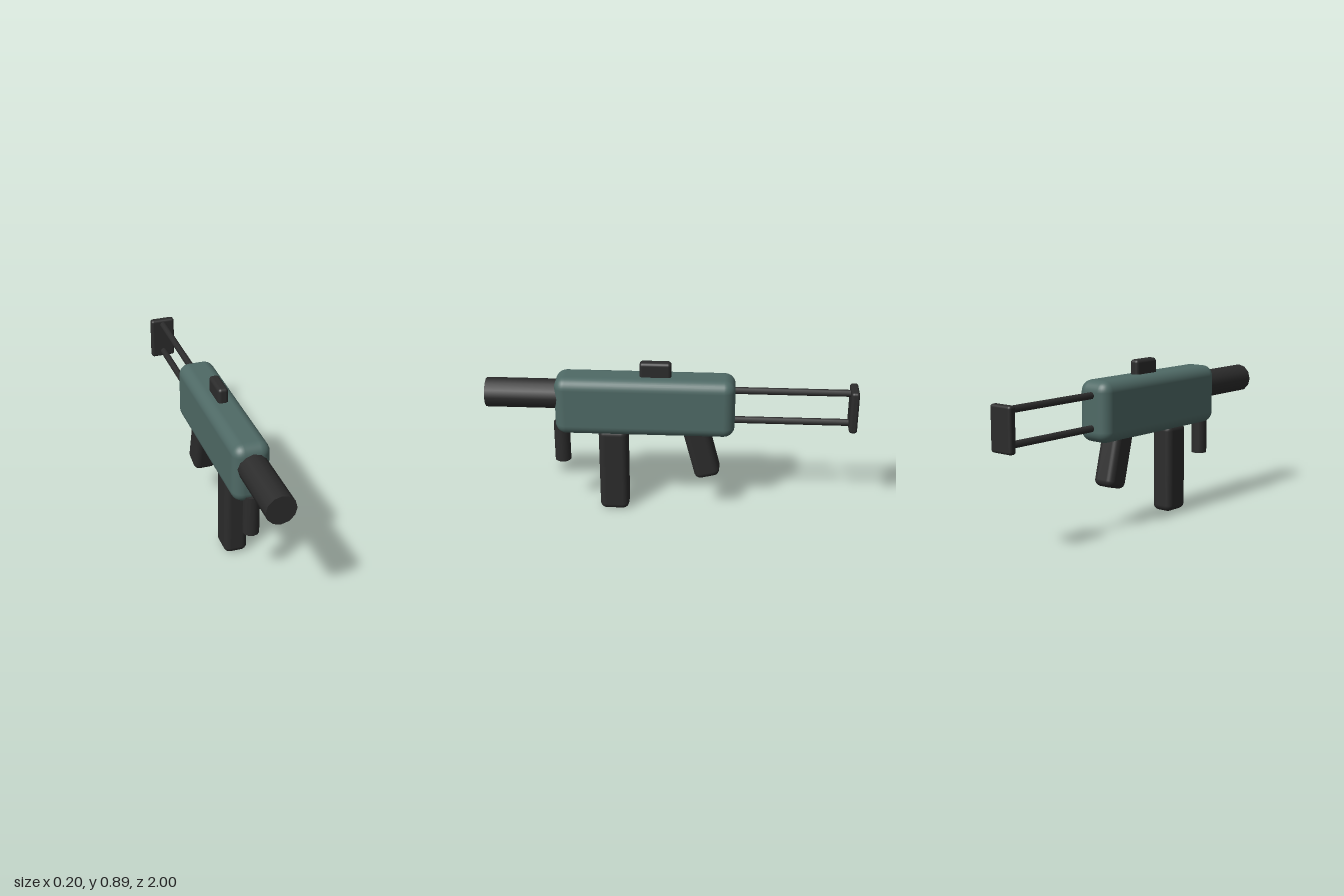
import * as THREE from 'three';
import { RoundedBoxGeometry } from 'three/addons/geometries/RoundedBoxGeometry.js';

export function createModel() {
  const model = new THREE.Group();
  const green = new THREE.MeshStandardMaterial({ color: 0x4f6a66 });
  green.name = 'dull green';
  const black = new THREE.MeshStandardMaterial({ color: 0x2c2c2c });
  black.name = 'soft black';

  function add(name, geometry, material, y, z) {
    const mesh = new THREE.Mesh(geometry, material);
    mesh.name = name;
    mesh.position.set(0, y, z);
    model.add(mesh);
    return mesh;
  }
  const block = (w, h, d, r) => new RoundedBoxGeometry(w, h, d, 4, r);
  // cylinder lying along z
  const rod = (r, length, sides) =>
    new THREE.CylinderGeometry(r, r, length, sides).rotateX(Math.PI / 2);

  // body and barrel
  add('body', block(0.2, 0.33, 0.97, 0.06), green, 0.645, 0.14);
  add('barrel', rod(0.08, 0.5, 12), black, 0.69, 0.75);

  // raised sight on top
  add('sight', block(0.056, 0.14, 0.17, 0.018), black, 0.82, 0.083);

  // parts hanging below the body
  add('frontGrip', new THREE.CylinderGeometry(0.044, 0.044, 0.23, 12), black, 0.405, 0.6);
  add('magazine', block(0.128, 0.5, 0.16, 0.035), black, 0.25, 0.315);
  const grip = add('rearGrip', block(0.13, 0.34, 0.14, 0.035), black, 0.385, -0.165);
  grip.rotation.x = 0.25;

  // two-rod stock with end plate
  for (const [name, y] of [['upperStockRod', 0.734], ['lowerStockRod', 0.559]]) {
    add(name, rod(0.019, 0.67, 10), black, y, -0.64);
  }
  add('stockPlate', block(0.14, 0.24, 0.044, 0.015), black, 0.645, -0.978);

  return model;
}
